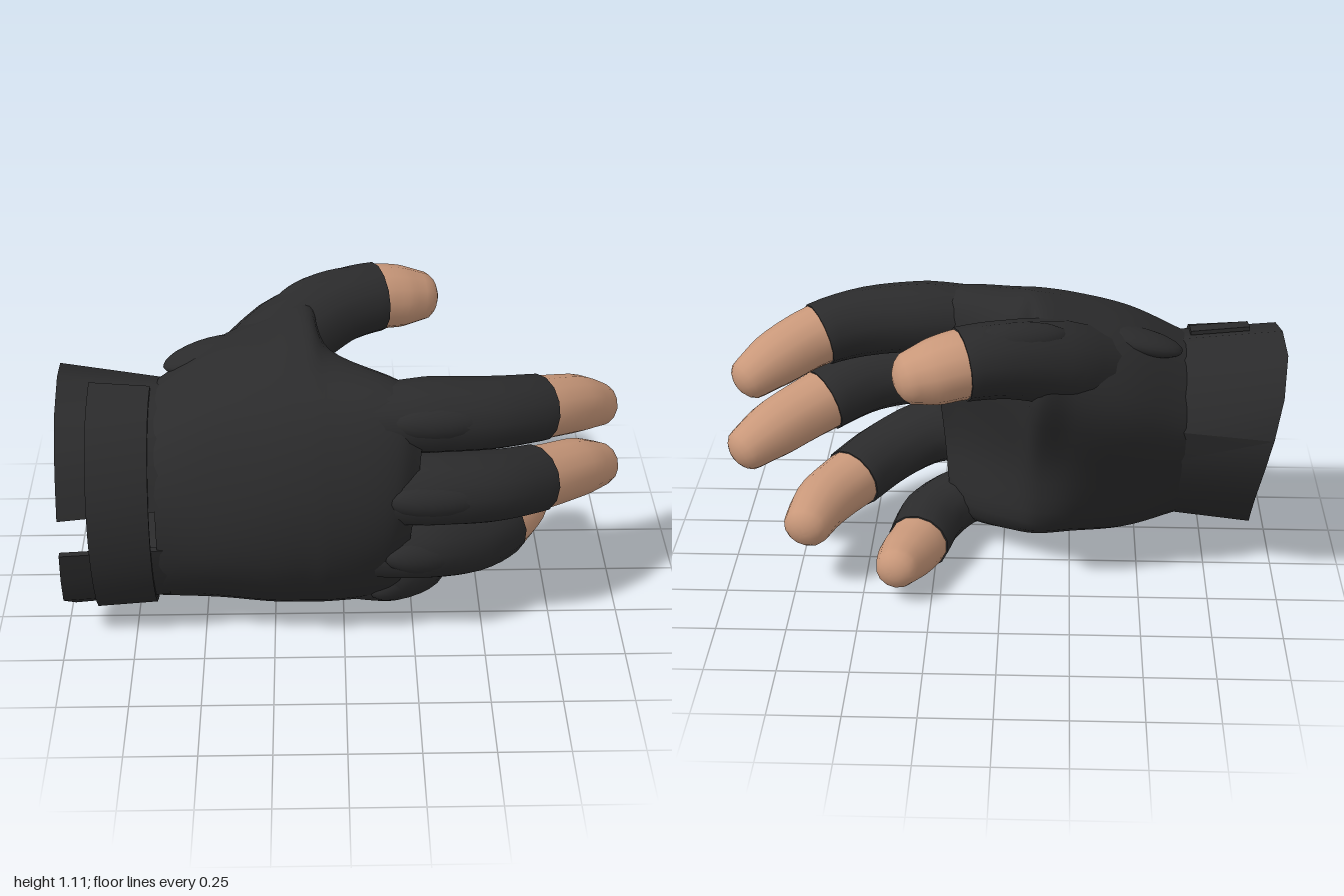
import * as THREE from 'three';
import { toCreasedNormals } from 'three/addons/utils/BufferGeometryUtils.js';

const V = (x, y, z) => new THREE.Vector3(x, y, z);

// Closed skin over a list of rings, capped at both ends and facing outwards
function loft(rings, crease = 0.9) {
  const n = rings[0].length, pts = rings.flat(), idx = [];
  for (let i = 0; i < rings.length - 1; i++) {
    for (let j = 0; j < n; j++) {
      const a = i * n + j, b = i * n + (j + 1) % n;
      idx.push(a, b, a + n, b, b + n, a + n);
    }
  }
  for (const [ring, start, first] of [[rings[0], 0, true], [rings.at(-1), (rings.length - 1) * n, false]]) {
    const c = pts.length;
    pts.push(ring.reduce((s, p) => s.add(p), V(0, 0, 0)).divideScalar(n));
    for (let j = 0; j < n; j++) {
      const a = start + j, b = start + (j + 1) % n;
      first ? idx.push(c, b, a) : idx.push(c, a, b);
    }
  }
  let volume = 0;
  for (let i = 0; i < idx.length; i += 3) {
    volume += pts[idx[i]].dot(V(0, 0, 0).crossVectors(pts[idx[i + 1]], pts[idx[i + 2]]));
  }
  if (volume < 0) idx.reverse();
  const g = new THREE.BufferGeometry().setFromPoints(pts);
  g.setIndex(idx);
  return toCreasedNormals(g, crease);
}

// Cross-sections of the hand: x, then eight [z, y] points running
// top front, front, lower front, bottom, lower palm, mid palm, thumb base, top
const SECTIONS = [
  [-1.00, [[.30, .84], [.44, .62], [.45, .36], [.34, .13], [.08, .14], [-.12, .35], [-.22, .65], [-.03, .90]]],
  [-0.65, [[.25, .84], [.41, .64], [.43, .36], [.30, .13], [.10, .16], [-.08, .38], [-.17, .65], [0, .86]]],
  [-0.45, [[.28, .92], [.45, .65], [.46, .35], [.25, .09], [.00, .15], [-.18, .44], [-.27, .76], [-.10, .96]]],
  [-0.25, [[.30, .96], [.48, .67], [.47, .33], [.25, .07], [-.08, .18], [-.23, .50], [-.33, .83], [-.18, 1.02]]],
  [-0.13, [[.31, .97], [.49, .67], [.47, .33], [.24, .06], [-.05, .15], [-.16, .47], [-.36, .87], [-.22, 1.05]]],
  [-0.05, [[.32, .97], [.49, .67], [.47, .33], [.24, .06], [-.01, .14], [-.01, .42], [-.08, .80], [.04, 1.00]]],
  [0.20, [[.34, .96], [.47, .64], [.43, .34], [.22, .07], [.09, .15], [.15, .41], [.14, .80], [.20, .96]]],
];
// Rounded end between the fingers
SECTIONS.push([0.28, SECTIONS.at(-1)[1].map(([z, y]) => [.29 + (z - .29) * .75, .52 + (y - .52) * .87])]);
// The knuckle line slants back towards the little finger
const outlines = SECTIONS.map(([x, p]) =>
  new THREE.CatmullRomCurve3(p.map(([z, y]) => V(x - Math.max(0, x) * .35 * (1 - y), y, z)), true));

// Point on the cuff at x, at turn t, scaled about the wrist axis; the rim is cut back below the palm
function cuffPoint(x, t, scale) {
  const u = ((t % 1) + 1) % 1, k = (x + 1) / 0.35;
  const p = outlines[0].getPoint(u).lerp(outlines[1].getPoint(u), k);
  const lobe = centre => Math.max(0, Math.cos((u - centre) * Math.PI * 2));
  const cut = (.09 * lobe(.58) + .02 * lobe(.1)) * Math.max(0, 1 - 3 * k);
  return V(x + cut, 0.5 + (p.y - 0.5) * scale, 0.12 + (p.z - 0.12) * scale);
}

// Band that runs part of the way round the wrist
function band(x0, x1, t0, t1, inner, outer, steps) {
  const rings = [];
  for (let i = 0; i <= steps; i++) {
    const t = t0 + (t1 - t0) * i / steps;
    rings.push([cuffPoint(x0, t, outer), cuffPoint(x1, t, outer), cuffPoint(x1, t, inner), cuffPoint(x0, t, inner)]);
  }
  return loft(rings, 0.6);
}

function palmGeometry() {
  const N = 40, rows = 40;
  const lines = Array.from({ length: N }, (_, j) =>
    new THREE.CatmullRomCurve3(outlines.slice(1).map(o => o.getPoint(j / N))));
  return loft(Array.from({ length: rows + 1 }, (_, i) => lines.map(l => l.getPoint(i / rows))));
}

// Fingers: centre line points as [x, y, z, radius]; the glove ends at the fourth
const FINGERS = {
  index: [[.02, .86, .28, .11], [.28, .87, .27, .13], [.50, .86, .245, .125], [.675, .835, .175, .116], [.82, .785, .07, .108], [.905, .74, .005, .085]],
  middle: [[.02, .60, .34, .11], [.28, .62, .35, .128], [.50, .60, .31, .125], [.675, .555, .20, .12], [.84, .505, .06, .112], [.93, .465, -.02, .088]],
  ring: [[.02, .36, .32, .11], [.26, .37, .33, .122], [.44, .32, .24, .12], [.565, .28, .10, .116], [.66, .265, -.06, .107], [.70, .25, -.20, .087]],
  little: [[0, .16, .22, .09], [.16, .15, .20, .11], [.27, .12, .09, .115], [.31, .107, -.07, .11], [.35, .115, -.19, .10], [.37, .13, -.285, .08]],
  thumb: [[-.40, .80, -.04, .14], [-.20, .91, -.19, .15], [-.02, .97, -.30, .132], [.13, .98, -.365, .125], [.22, .965, -.395, .118], [.285, .955, -.415, .098]],
};

function fingerRing(c, dir, r, sides = 14) {
  const side = V(0, 0, 0).crossVectors(dir, V(0, 1, 0)).normalize();
  const up = V(0, 0, 0).crossVectors(side, dir);
  return Array.from({ length: sides }, (_, j) => {
    const a = j / sides * Math.PI * 2;
    return c.clone().addScaledVector(up, Math.cos(a) * r).addScaledVector(side, Math.sin(a) * r * 1.06);
  });
}

function finger(name, pts, glove, skin) {
  const group = new THREE.Group();
  group.name = name + 'Finger';
  const path = new THREE.CatmullRomCurve3(pts.map(p => V(p[0], p[1], p[2])));
  const edge = 3 / (pts.length - 1);
  const radius = t => {
    const f = t * (pts.length - 1), i = Math.min(Math.floor(f), pts.length - 2);
    return THREE.MathUtils.lerp(pts[i][3], pts[i + 1][3], f - i);
  };
  const run = (t0, t1, k, steps) => Array.from({ length: steps + 1 }, (_, i) => {
    const t = t0 + (t1 - t0) * i / steps;
    const dir = path.getPoint(Math.min(t + .01, 1)).sub(path.getPoint(Math.max(t - .01, 0))).normalize();
    return fingerRing(path.getPoint(t), dir, radius(t) * k);
  });
  const sleeve = new THREE.Mesh(loft(run(0, edge, 1, 12)), glove);
  sleeve.name = name + 'Sleeve';
  // Bare finger with a domed tip
  const rings = run(edge - .05, 1, .95, 8);
  const end = path.getPoint(1), dir = end.clone().sub(path.getPoint(.98)).normalize();
  const r = radius(1) * .95;
  for (const a of [.4, .8, 1.15, 1.4]) {
    rings.push(fingerRing(end.clone().addScaledVector(dir, Math.sin(a) * r * .75), dir, Math.cos(a) * r));
  }
  const tip = new THREE.Mesh(loft(rings, 1.1), skin);
  tip.name = name + 'Tip';
  group.add(sleeve, tip);
  return group;
}

export function createModel() {
  const model = new THREE.Group();
  model.name = 'fingerlessGloveHand';
  const glove = new THREE.MeshStandardMaterial({ color: 0x2b2b2c });
  glove.name = 'black fabric';
  const skin = new THREE.MeshStandardMaterial({ color: 0xc9987a });
  skin.name = 'skin';
  const add = (name, geometry) => {
    const m = new THREE.Mesh(geometry, glove);
    m.name = name;
    model.add(m);
    return m;
  };

  add('palm', palmGeometry());
  // Cuff with a slit on the back of the wrist, closed by a strap
  add('cuff', band(-1, -.62, .216, 1.15, .96, 1.015, 16));
  add('wristStrap', band(-.88, -.67, -.07, .43, 1.01, 1.05, 14));

  for (const [name, pts] of Object.entries(FINGERS)) model.add(finger(name, pts, glove, skin));

  // Low raised pads: position, half sizes, turn about y, tilt about z
  const pads = [
    ['indexPad', [.32, .89, .34], [.19, .07, .07], .1, -.04],
    ['middlePad', [.32, .63, .42], [.19, .07, .07], .15, -.06],
    ['ringPad', [.28, .37, .39], [.16, .07, .07], .35, -.2],
    ['littlePad', [.18, .13, .24], [.12, .06, .065], .8, -.2],
    ['thumbPad', [-.05, 1.045, -.31], [.20, .06, .07], .4, .08],
    ['wristPad', [-.48, .93, -.05], [.16, .04, .08], .1, .28],
  ];
  for (const [name, pos, half, turn, tilt] of pads) {
    const pad = add(name, new THREE.SphereGeometry(1, 18, 12));
    pad.position.set(...pos);
    pad.scale.set(...half);
    pad.rotation.set(0, turn, tilt);
  }
  return model;
}
